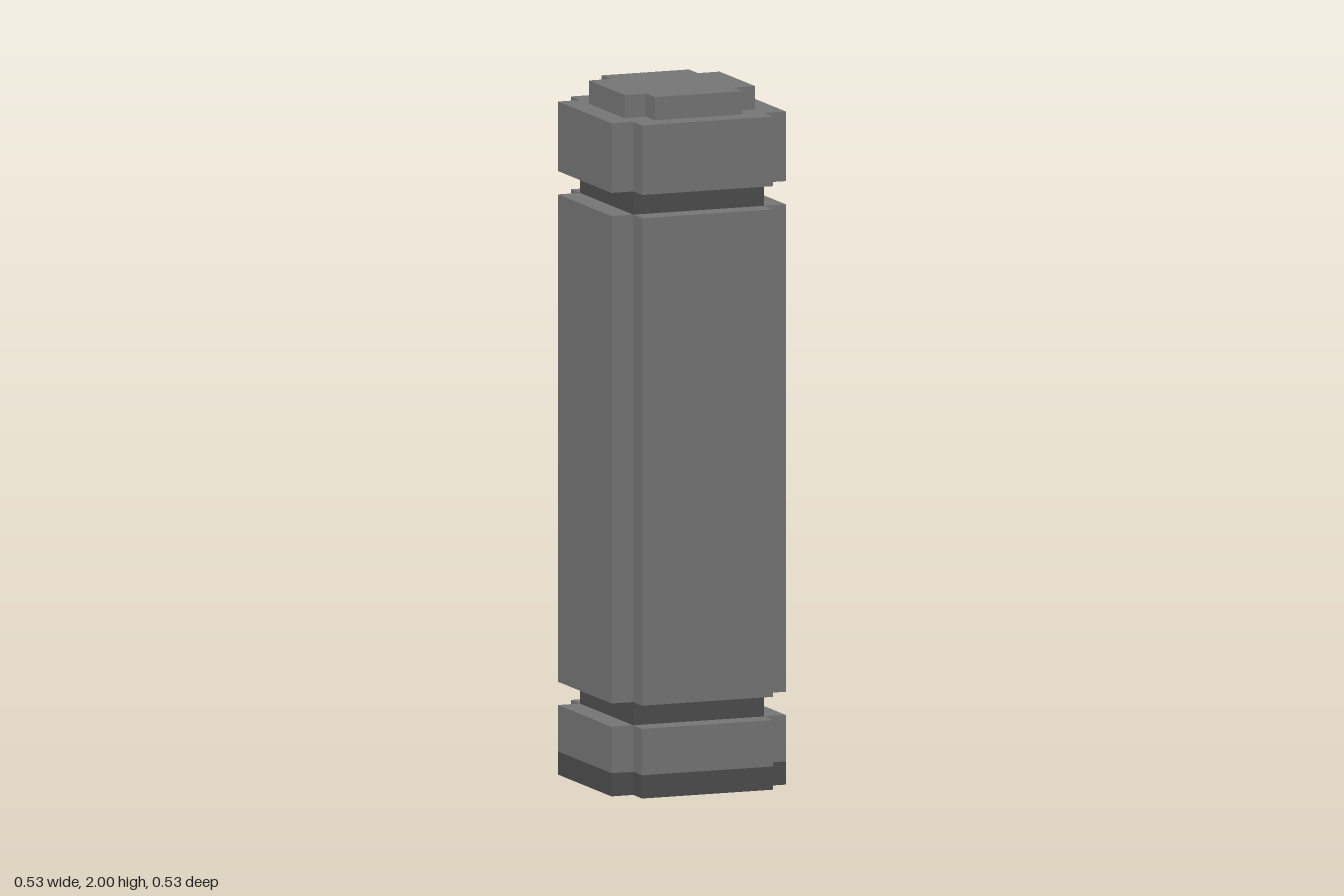
import * as THREE from 'three';

const U = 1 / 15; // block size

// Square outline with one-block notches cut from its corners
function notchedSquare(half) {
  const o = half * U, i = (half - 1) * U;
  const s = new THREE.Shape();
  s.moveTo(i, -o);
  [[i, -i], [o, -i], [o, i], [i, i], [i, o], [-i, o],
    [-i, i], [-o, i], [-o, -i], [-i, -i], [-i, -o]].forEach(([x, y]) => s.lineTo(x, y));
  s.closePath();
  return s;
}

export function createModel() {
  const stone = new THREE.MeshStandardMaterial({ color: 0x767676 });
  stone.name = 'grey stone';
  const darkStone = new THREE.MeshStandardMaterial({ color: 0x4e4e4e });
  darkStone.name = 'dark grey stone';

  const pillar = new THREE.Group();
  pillar.name = 'pillar';

  // Notched slab between two heights, in blocks
  function slab(name, half, y0, y1, material) {
    const geo = new THREE.ExtrudeGeometry(notchedSquare(half), { depth: (y1 - y0) * U, bevelEnabled: false });
    geo.rotateX(-Math.PI / 2);
    const mesh = new THREE.Mesh(geo, material);
    mesh.name = name;
    mesh.position.y = y0 * U;
    pillar.add(mesh);
  }

  // Plain square neck filling a groove
  function neck(name, y0, y1) {
    const mesh = new THREE.Mesh(new THREE.BoxGeometry(6 * U, (y1 - y0) * U, 6 * U), darkStone);
    mesh.name = name;
    mesh.position.y = (y0 + y1) / 2 * U;
    pillar.add(mesh);
  }

  slab('foot', 4, 0, 1, darkStone);
  slab('base', 4, 1, 3, stone);
  neck('lowerGroove', 3, 4);
  slab('shaft', 4, 4, 25, stone);
  neck('upperGroove', 25, 26);
  slab('capital', 4, 26, 29, stone);
  slab('cap', 3, 29, 30, stone);

  return pillar;
}
